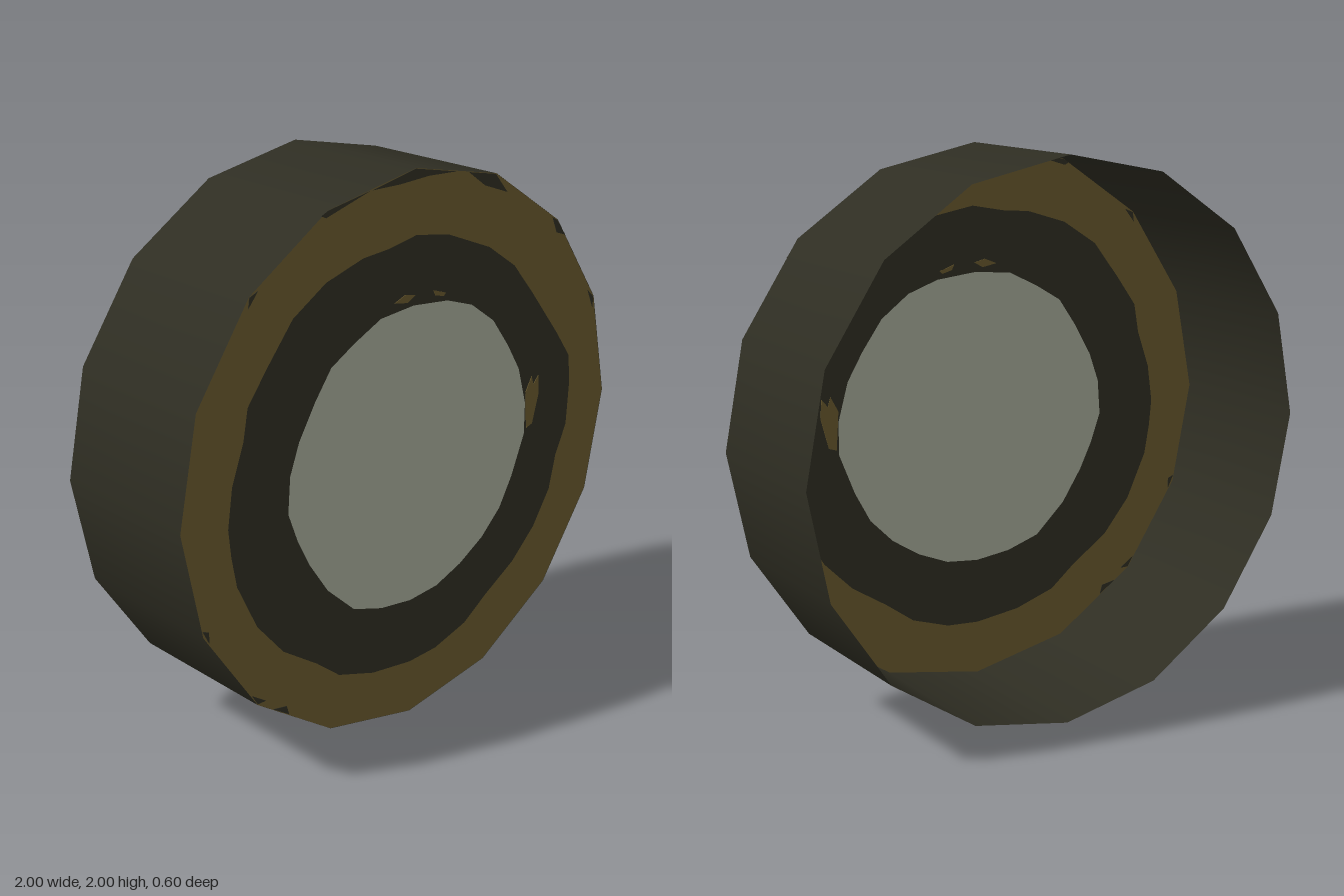
import * as THREE from 'three';

const SIDES = 16, HALF = 0.3, FACE_Z = 0.298;

// Outlines as x, y pairs in hundredths, measured from the wheel centre
const BAND = [81, 7, 80, 18, 73, 28, 66, 37, 59, 46, 49, 58, 36, 67, 16, 75, 1, 77.5, -12, 75, -23, 74,
  -39, 69, -53, 60, -64, 46, -72, 35, -74, 24, -79, 10, -81, -4, -80, -14, -78, -25, -70, -42, -59, -55,
  -44, -65, -34, -73, -18, -78, 0, -80, 13, -79, 28, -74, 39, -66, 53, -57, 64, -46, 72, -33, 75, -20, 80, -9];
const CENTRE = [57, 5, 53, 19, 47, 29, 39, 40, 28, 48, 16, 52, 0, 53.5, -15, 52, -27, 46, -37, 40, -44, 30,
  -51, 18, -55, 7, -56, -6, -52, -17, -47, -27, -39, -39, -27, -50, -14, -54, 0, -55.5, 13, -54, 25, -49,
  36, -42, 45, -33, 51, -22, 57, -7];
const OCHRE_FLECKS = [
  [-9, 56, -4, 58, 0.5, 57, -3, 55],
  [9, 57, 15, 55, 14, 54, 10, 55],
  [57, 9, 60, 14.5, 61, 11, 63.5, 14, 64, 7, 61, -4, 58, -5],
];
const RIM_FLECKS = [
  [-19, 95.7, 0, 99.8, 19, 96, 6, 96.5, -7, 95.7],
  [25, 94.8, 38, 92.2, 44, 85, 33, 89],
  [68, 72, 70.5, 70.5, 75, 64.5, 70.5, 66],
  [89, 41, 92.2, 38, 92, 34],
  [-41, 91, -38, 92.3, -20, 95.7, -39, 90],
  [-70.5, 70.5, -67, 72, -71, 67],
  [-92.5, -36, -90, -37, -90, -41],
  [-73, -66.5, -70.5, -70.5, -67, -70.5],
  [-64, -75, -58, -76, -57, -79.5],
];

function points(list) {
  const out = [];
  for (let i = 0; i < list.length; i += 2) out.push(new THREE.Vector2(list[i] / 100, list[i + 1] / 100));
  return out;
}

function polygon(n) {
  return Array.from({ length: n }, (_, i) => {
    const a = (i / n) * Math.PI * 2;
    return new THREE.Vector2(Math.cos(a), Math.sin(a));
  });
}

export function createModel() {
  const group = new THREE.Group();
  group.name = 'wheel';
  const material = (name, color) => {
    const m = new THREE.MeshStandardMaterial({ color, side: THREE.DoubleSide });
    m.name = name;
    return m;
  };
  const dark = material('dark olive', 0x2f2e23);
  const ochre = material('ochre', 0x6a5a2e);
  const pale = material('pale grey', 0xa8ac9b);

  const add = (name, geometry, mat, z = 0) => {
    const mesh = new THREE.Mesh(geometry, mat);
    mesh.name = name;
    mesh.position.set(0, 1, z);
    group.add(mesh);
  };

  // Open-backed tread wall
  const wall = new THREE.CylinderGeometry(1, 1, HALF * 2, SIDES, 1, true);
  wall.rotateY(Math.PI / 2).rotateX(Math.PI / 2);
  add('tread', wall, dark);

  // Flat front face: three nested zones in a single plane
  const zone = (name, outline, inner, mat) => {
    const shape = new THREE.Shape(outline);
    if (inner) shape.holes.push(new THREE.Path(inner));
    add(name, new THREE.ShapeGeometry(shape), mat, FACE_Z);
  };
  zone('outerBand', polygon(SIDES), points(BAND), ochre);
  zone('innerBand', points(BAND), points(CENTRE), dark);
  zone('centreDisc', points(CENTRE), null, pale);

  // Worn flecks: thin plates showing on both sides of the face
  const flecks = (name, lists, mat) => {
    const shapes = lists.map((l) => new THREE.Shape(points(l)));
    const plate = new THREE.ExtrudeGeometry(shapes, { depth: 0.004, bevelEnabled: false });
    add(name, plate, mat, FACE_Z - 0.002);
  };
  flecks('innerFlecks', OCHRE_FLECKS, ochre);
  flecks('rimFlecks', RIM_FLECKS, dark);

  return group;
}
